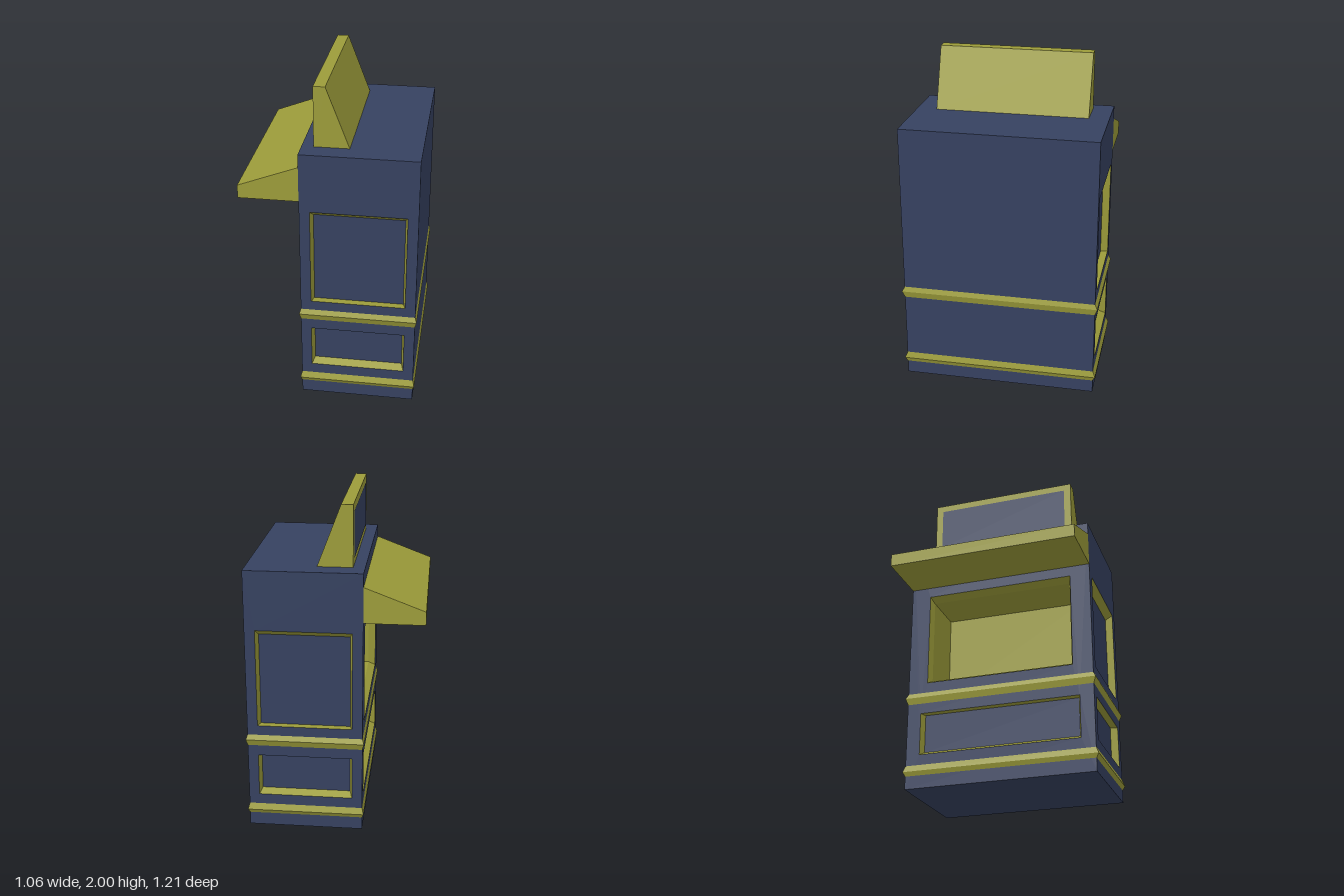
import * as THREE from 'three';

const paint = (color) => new THREE.MeshStandardMaterial({ color, flatShading: true });
const navy = paint(0x364160);
const olive = paint(0x9c9c3a);

const CX = 0.1725, HX = 0.3475, HZ = 0.592, H = 1.635; // cabinet centre and half sizes

function mesh(name, geometry, material, parent) {
  const m = new THREE.Mesh(geometry, material);
  m.name = name;
  parent.add(m);
  return m;
}

// Bands of quads between successive four-cornered loops, seen from outside
function loft(loops) {
  const pos = [];
  for (let k = 0; k + 1 < loops.length; k++) {
    for (let i = 0; i < 4; i++) {
      const j = (i + 1) % 4;
      const a = loops[k][i], b = loops[k][j], c = loops[k + 1][j], d = loops[k + 1][i];
      pos.push(...a, ...b, ...c, ...a, ...c, ...d);
    }
  }
  const g = new THREE.BufferGeometry();
  g.setAttribute('position', new THREE.Float32BufferAttribute(pos, 3));
  g.computeVertexNormals();
  return g;
}

// Counter-clockwise rectangle in a wall's own plane
const rect = (hw, y0, y1, z) => [[-hw, y0, z], [hw, y0, z], [hw, y1, z], [-hw, y1, z]];

function outline(hw, y0, y1, Type = THREE.Shape) {
  return new Type(rect(hw, y0, y1, 0).map(([x, y]) => new THREE.Vector2(x, y)));
}

// Flat wall with recessed openings, each with a splayed frame and a back plate
function wall(name, halfWidth, distance, angle, recesses, parent) {
  const group = new THREE.Group();
  group.name = name;
  group.rotation.y = angle;
  const shape = outline(halfWidth, 0, H);
  for (const r of recesses) {
    shape.holes.push(outline(r.hw, r.y0, r.y1, THREE.Path));
    const inner = [r.hw - 0.015, r.y0 + r.bottom, r.y1 - r.top];
    const loops = [rect(r.hw, r.y0, r.y1, distance), rect(...inner, distance - 0.045)];
    if (r.depth) loops.push(rect(...inner, distance - r.depth));
    mesh(r.name + 'Frame', loft(loops), olive, group);
    mesh(r.name + 'Back', new THREE.ShapeGeometry(outline(...inner)), r.depth ? olive : navy, group)
      .position.z = distance - (r.depth || 0.045);
  }
  mesh(name + 'Surface', new THREE.ShapeGeometry(shape), navy, group).position.z = distance;
  parent.add(group);
}

// Profile in x and y, extruded along z about the centre
function prism(name, points, halfDepth, parent) {
  const shape = new THREE.Shape(points.map(([x, y]) => new THREE.Vector2(x, y)));
  const g = new THREE.ExtrudeGeometry(shape, { depth: 2 * halfDepth, bevelEnabled: false });
  g.translate(0, 0, -halfDepth);
  return mesh(name, g, olive, parent);
}

export function createModel() {
  const model = new THREE.Group();
  model.name = 'boothStall';

  // Cabinet walls
  const cabinet = new THREE.Group();
  cabinet.name = 'cabinet';
  cabinet.position.x = CX;
  model.add(cabinet);
  const panels = [
    { name: 'upperPanel', hw: 0.285, y0: 0.67, y1: 1.275, bottom: 0, top: 0.035 },
    { name: 'lowerPanel', hw: 0.285, y0: 0.21, y1: 0.475, bottom: 0.025, top: 0 },
  ];
  wall('frontWall', HX, HZ, 0, panels, cabinet);
  wall('backWall', HX, HZ, Math.PI, panels, cabinet);
  wall('plainWall', HZ, HX, Math.PI / 2, [], cabinet);
  wall('servingWall', HZ, HX, -Math.PI / 2, [
    { name: 'servingWindow', hw: 0.467, y0: 0.675, y1: 1.275, bottom: 0.025, top: 0.03, depth: 0.33 },
    { name: 'counterPanel', hw: 0.505, y0: 0.21, y1: 0.475, bottom: 0.025, top: 0 },
  ], cabinet);

  // Roof and floor
  for (const [name, y, turn] of [['roof', H, -1], ['floor', 0, 1]]) {
    const m = mesh(name, new THREE.PlaneGeometry(2 * HX, 2 * HZ), navy, cabinet);
    m.position.y = y;
    m.rotation.x = turn * Math.PI / 2;
  }

  // Ridged trim bands around the cabinet
  const ring = (y, out) => [[-1, 1], [1, 1], [1, -1], [-1, -1]]
    .map(([sx, sz]) => [sx * (HX + out * 0.65), y, sz * (HZ + out)]);
  for (const [name, low, ridge, high] of [['baseTrim', 0.08, 0.107, 0.145], ['waistTrim', 0.54, 0.58, 0.61]]) {
    mesh(name, loft([ring(low, 0), ring(ridge, 0.015), ring(high, 0)]), olive, cabinet);
  }

  // Awning over the serving window
  prism('awning', [[-0.175, 1.34], [-0.175, 1.555], [-0.533, 1.42], [-0.533, 1.34]], HZ, model);

  // Wedge-shaped roof sign with a dark face
  prism('roofSign', [[-0.105, H], [0.105, H], [-0.035, 2], [-0.105, 2]], 0.47, model);
  const face = mesh('signFace', new THREE.PlaneGeometry(0.85, 0.28), navy, model);
  face.rotation.y = -Math.PI / 2;
  face.position.set(-0.107, 1.815, 0);

  return model;
}
